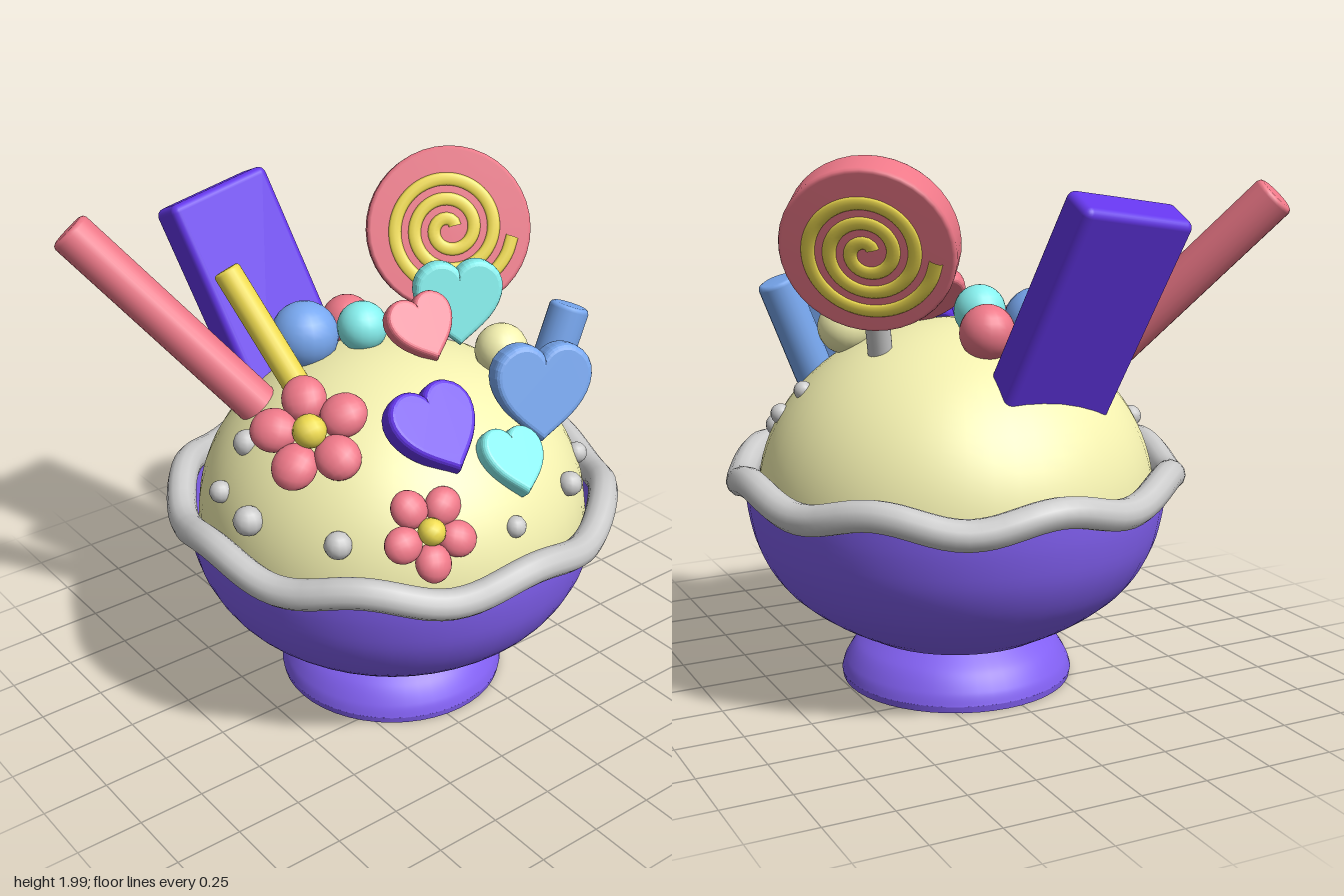
import * as THREE from 'three';
import { RoundedBoxGeometry } from 'three/addons/geometries/RoundedBoxGeometry.js';

const V = (x, y, z) => new THREE.Vector3(x, y, z);
const mat = (color) => new THREE.MeshStandardMaterial({ color, side: THREE.DoubleSide });
const M = {
  bowl: mat(0x8260f2), chocolate: mat(0x6436ea), pink: mat(0xee7888), yellow: mat(0xf0dc50),
  cream: mat(0xf4f1b0), cyan: mat(0x86f0ee), blue: mat(0x78a8f0), grey: mat(0xcccccc),
};
const CX = 0.06; // axis of the bowl

function add(parent, name, geometry, material, pos) {
  const m = new THREE.Mesh(geometry, material);
  m.name = name;
  if (pos) m.position.copy(pos);
  parent.add(m);
  return m;
}

// Places an object so that its +z looks along n and its +y lies close to up
function orient(obj, pos, n, up = V(0, 1, 0), roll = 0) {
  const z = n.clone().normalize();
  const x = up.clone().cross(z).normalize();
  obj.quaternion.setFromRotationMatrix(new THREE.Matrix4().makeBasis(x, z.clone().cross(x), z));
  obj.rotateZ(roll);
  obj.position.copy(pos);
  return obj;
}

// Round stick with slightly softened ends between two points
function stick(parent, name, a, b, r, material) {
  const L = a.distanceTo(b), e = r * 0.22;
  const pts = [[0, 0], [r - e, 0], [r - e * 0.3, e * 0.3], [r, e], [r, L - e], [r - e * 0.3, L - e * 0.3], [r - e, L], [0, L]];
  const m = add(parent, name, new THREE.LatheGeometry(pts.map((p) => new THREE.Vector2(...p)), 20), material, a);
  m.quaternion.setFromUnitVectors(V(0, 1, 0), b.clone().sub(a).normalize());
}

// Puffy heart of the given width, tip pointing down
function heart(parent, w, material, pos, n, roll = 0) {
  const s = new THREE.Shape();
  s.moveTo(0, 0.24);
  s.bezierCurveTo(0.06, 0.4, 0.2, 0.42, 0.29, 0.38);
  s.bezierCurveTo(0.5, 0.28, 0.46, 0.04, 0.3, -0.14);
  s.bezierCurveTo(0.2, -0.25, 0.08, -0.33, 0, -0.4);
  s.bezierCurveTo(-0.08, -0.33, -0.2, -0.25, -0.3, -0.14);
  s.bezierCurveTo(-0.46, 0.04, -0.5, 0.28, -0.29, 0.38);
  s.bezierCurveTo(-0.2, 0.42, -0.06, 0.4, 0, 0.24);
  const g = new THREE.ExtrudeGeometry(s, {
    depth: 0.1, bevelThickness: 0.08, bevelSize: 0.06, bevelSegments: 4, curveSegments: 8,
  });
  g.translate(0, 0, -0.05).scale(w, w, w);
  orient(add(parent, 'heartCandy', g, material), pos, n, V(0, 1, 0), roll);
}

// Five-petal flower
function flower(parent, size, pos, n, roll) {
  const f = new THREE.Group();
  f.name = 'flower';
  for (let i = 0; i < 5; i++) {
    const a = (i / 5) * Math.PI * 2;
    const p = add(f, 'petal', new THREE.SphereGeometry(1, 16, 12), M.pink, V(Math.cos(a) * 0.62, Math.sin(a) * 0.62, 0));
    p.scale.set(0.41, 0.38, 0.27);
    p.rotation.z = a;
  }
  add(f, 'flowerCentre', new THREE.SphereGeometry(0.29, 12, 10), M.yellow, V(0, 0, 0.14));
  f.scale.setScalar(size);
  parent.add(orient(f, pos, n, V(0, 1, 0), roll));
}

// Flat disc with a spiral on both faces, on a stick
function lollipop(parent) {
  const g = new THREE.Group();
  g.name = 'lollipop';
  const R = 0.31, T = 0.065, e = 0.015;
  const profile = [[0, -T], [R - e, -T], [R - e * 0.3, -T + e * 0.3], [R, -T + e], [R, T - e], [R - e * 0.3, T - e * 0.3], [R - e, T], [0, T]];
  const disc = add(g, 'lollipopDisc', new THREE.LatheGeometry(profile.map((p) => new THREE.Vector2(...p)), 40), M.pink);
  disc.rotation.x = Math.PI / 2;
  const pts = [];
  for (let i = 0; i <= 60; i++) {
    const t = i / 60, a = t * Math.PI * 2 * 2.9 + 0.5, r = 0.025 + 0.215 * t;
    pts.push(V(Math.cos(a) * r, Math.sin(a) * r, 0));
  }
  const spiral = new THREE.TubeGeometry(new THREE.CatmullRomCurve3(pts), 160, 0.024, 8, false);
  for (const side of [0, 1]) {
    const s = add(g, 'spiral', spiral, M.yellow, V(0, 0, side ? -T : T));
    s.scale.z = 0.4;
    s.rotation.y = side * Math.PI;
  }
  stick(g, 'lollipopStick', V(0, -0.62, 0), V(0, -0.28, 0), 0.045, M.grey);
  parent.add(orient(g, V(0.48, 1.685, -0.2), V(-0.53, 0.35, 0.77)));
}

export function createModel() {
  const root = new THREE.Group();
  root.name = 'iceCreamBowl';

  // Foot and bowl
  const lathe = (name, pts) => add(root, name, new THREE.LatheGeometry(
    new THREE.SplineCurve(pts.map((p) => new THREE.Vector2(...p))).getPoints(28), 48), M.bowl, V(CX, 0, 0));
  lathe('foot', [[0.44, 0.025], [0.425, 0.07], [0.385, 0.13], [0.32, 0.185]]);
  add(root, 'footBase', new THREE.CylinderGeometry(0.44, 0.435, 0.026, 48), M.bowl, V(CX, 0.013, 0));
  lathe('bowl', [[0, 0.175], [0.3, 0.18], [0.42, 0.225], [0.56, 0.31], [0.67, 0.41], [0.745, 0.54], [0.78, 0.68], [0.79, 0.8]]);

  // Wavy rim
  const rim = [];
  for (let i = 0; i < 64; i++) {
    const a = (i / 64) * Math.PI * 2;
    rim.push(V(Math.cos(a) * 0.802, 0.805 + 0.027 * Math.cos(8 * a), Math.sin(a) * 0.802));
  }
  add(root, 'rim', new THREE.TubeGeometry(new THREE.CatmullRomCurve3(rim, true), 128, 0.056, 12, true), M.grey, V(CX, 0, 0));

  // Ice cream dome
  const dome = add(root, 'iceCream', new THREE.SphereGeometry(1, 48, 28, 0, Math.PI * 2, 0, Math.PI * 0.6), M.cream, V(CX, 0.72, 0));
  dome.scale.set(0.74, 0.65, 0.74);

  // Sticks, chocolate slab and lollipop
  stick(root, 'waferStick', V(-0.35, 1.15, -0.22), V(-0.86, 1.845, -0.68), 0.08, M.pink);
  stick(root, 'yellowStick', V(-0.25, 1.22, -0.12), V(-0.39, 1.67, -0.4), 0.052, M.yellow);
  stick(root, 'blueStick', V(0.49, 1.13, 0.32), V(0.64, 1.51, 0.32), 0.075, M.blue);
  const up = V(-0.17, 0.895, -0.41).normalize();
  const slab = add(root, 'chocolateSlab', new RoundedBoxGeometry(0.44, 0.86, 0.16, 3, 0.03), M.chocolate);
  orient(slab, V(-0.14, 1.45, -0.6), V(0.97, 0.2, -0.09).cross(up), up);
  lollipop(root);

  // Hearts
  heart(root, 0.35, M.chocolate, V(-0.085, 1.265, 0.43), V(-0.05, 0.7, 0.7), 0.08);
  heart(root, 0.27, M.cyan, V(0.15, 1.13, 0.58), V(0.1, 0.7, 0.7), -0.25);
  heart(root, 0.38, M.blue, V(0.365, 1.3, 0.47), V(-0.33, 0.25, 0.9), -0.08);
  heart(root, 0.34, M.cyan, V(0.36, 1.49, 0.01), V(-0.45, 0.2, 0.87));
  heart(root, 0.27, M.pink, V(0.15, 1.455, 0.06), V(-0.15, 0.6, 0.8), 0.15);

  // Flowers
  flower(root, 0.21, V(-0.43, 1.255, 0.17), V(-0.5, 0.7, 0.5), 0.6);
  flower(root, 0.17, V(-0.245, 0.995, 0.6), V(-0.2, 0.55, 0.8), 0.85);

  // Round candies
  for (const [x, y, z, r, m] of [
    [-0.135, 1.385, -0.28, 0.128, M.blue], [0.09, 1.37, -0.32, 0.1, M.pink],
    [0.035, 1.42, -0.15, 0.095, M.cyan], [0.425, 1.34, 0.19, 0.1, M.cream],
  ]) add(root, 'roundCandy', new THREE.SphereGeometry(r, 20, 14), m, V(x, y, z));

  // Small grey pearls
  for (const [x, y, z, r] of [
    [-0.65, 0.945, 0.09, 0.055], [-0.5, 0.95, 0.42, 0.05], [0.07, 0.945, 0.69, 0.04], [0.405, 0.965, 0.61, 0.046],
    [0.62, 0.94, 0.42, 0.041], [0.675, 1.03, 0.21, 0.038], [0.49, 1.135, 0.4, 0.05], [0.62, 1.13, 0.115, 0.035],
    [-0.63, 0.96, -0.12, 0.042], [-0.51, 1.12, -0.12, 0.05],
  ]) add(root, 'pearl', new THREE.SphereGeometry(r, 12, 9), M.grey, V(x, y, z));

  return root;
}
